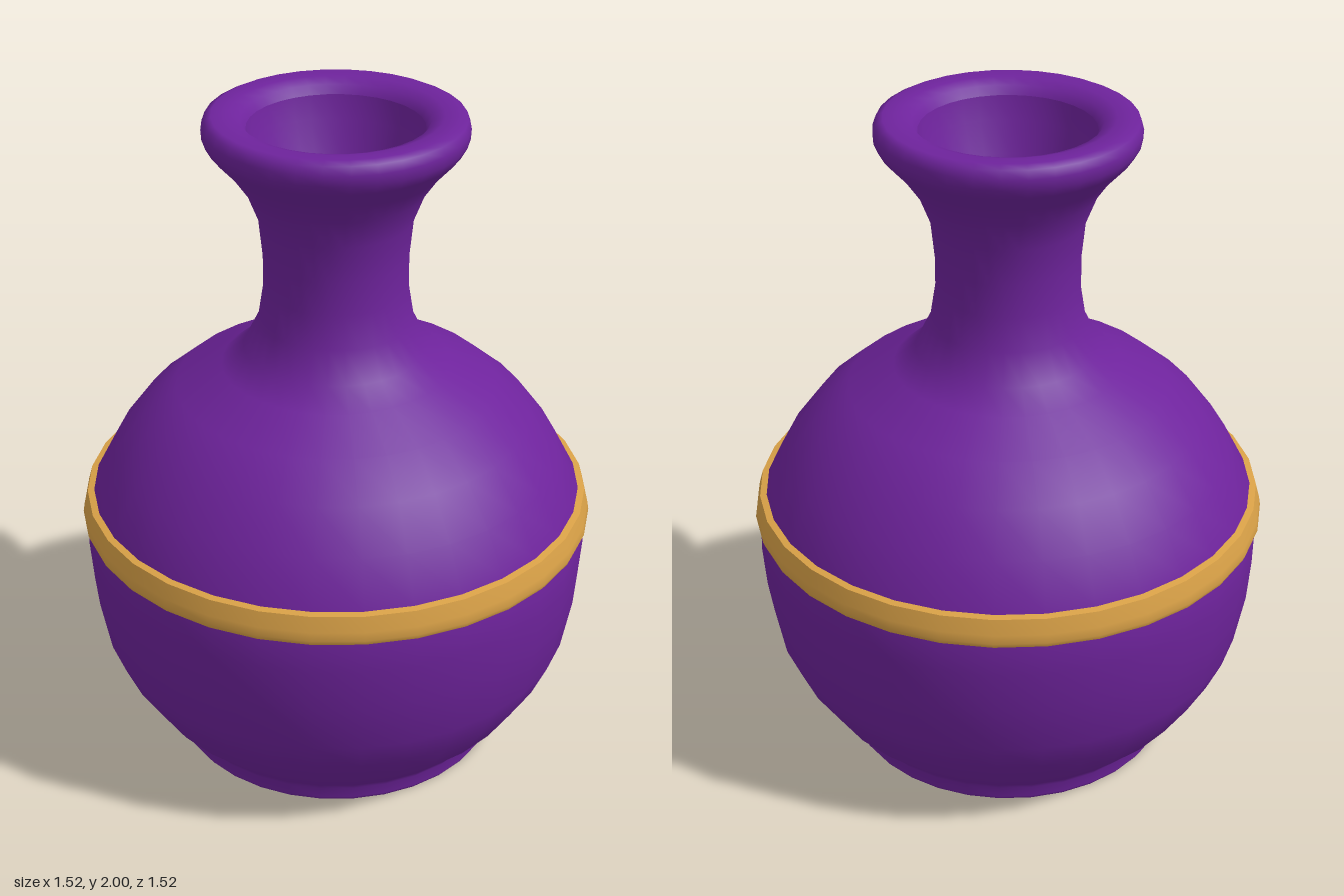
import * as THREE from 'three';

const SEGMENTS = 32;

// Revolve a list of [radius, height] pairs around the y axis
function revolve(name, profile, material) {
  const points = profile.map(([r, y]) => new THREE.Vector2(r, y));
  const mesh = new THREE.Mesh(new THREE.LatheGeometry(points, SEGMENTS), material);
  mesh.name = name;
  return mesh;
}

export function createModel() {
  const purple = new THREE.MeshStandardMaterial({ color: 0x6e239c });
  purple.name = 'purple glaze';
  const gold = new THREE.MeshStandardMaterial({ color: 0xd9a147 });
  gold.name = 'gold';

  const vase = new THREE.Group();
  vase.name = 'vase';

  // Flat underside, kept separate for a crisp edge
  vase.add(revolve('underside', [[0, 0], [0.49, 0]], purple));

  // Foot, round belly, neck and flared lip
  vase.add(revolve('outerWall', [
    [0.49, 0], [0.5, 0.015], [0.497, 0.045], [0.515, 0.07], [0.59, 0.145],
    [0.665, 0.26], [0.71, 0.36], [0.74, 0.52], [0.75, 0.65], [0.747, 0.74],
    [0.725, 0.84], [0.66, 0.965], [0.575, 1.08], [0.47, 1.17], [0.335, 1.235],
    [0.27, 1.29], [0.225, 1.38], [0.209, 1.48], [0.209, 1.58], [0.22, 1.69],
    [0.255, 1.78], [0.3, 1.845], [0.355, 1.905], [0.372, 1.935], [0.374, 1.965],
    [0.365, 1.99], [0.345, 2], [0.3, 1.998], [0.265, 1.985], [0.25, 1.96],
  ], purple));

  // Inside of the throat and hollow belly
  vase.add(revolve('innerWall', [
    [0.25, 1.96], [0.235, 1.89], [0.2, 1.8], [0.165, 1.7], [0.148, 1.58],
    [0.145, 1.48], [0.165, 1.36], [0.22, 1.24], [0.31, 1.17], [0.43, 1.11],
    [0.53, 1.03], [0.61, 0.93], [0.67, 0.8], [0.69, 0.65], [0.66, 0.42],
    [0.59, 0.25], [0.48, 0.12],
  ], purple));
  vase.add(revolve('innerFloor', [[0.48, 0.12], [0, 0.12]], purple));

  // Raised band round the belly, with creased edges
  const band = new THREE.Group();
  band.name = 'goldBand';
  band.add(revolve('bandUnderside', [[0.72, 0.75], [0.755, 0.75]], gold));
  band.add(revolve('bandFace', [[0.755, 0.75], [0.761, 0.765], [0.757, 0.79], [0.745, 0.835]], gold));
  band.add(revolve('bandTop', [[0.745, 0.835], [0.715, 0.84]], gold));
  vase.add(band);

  return vase;
}
